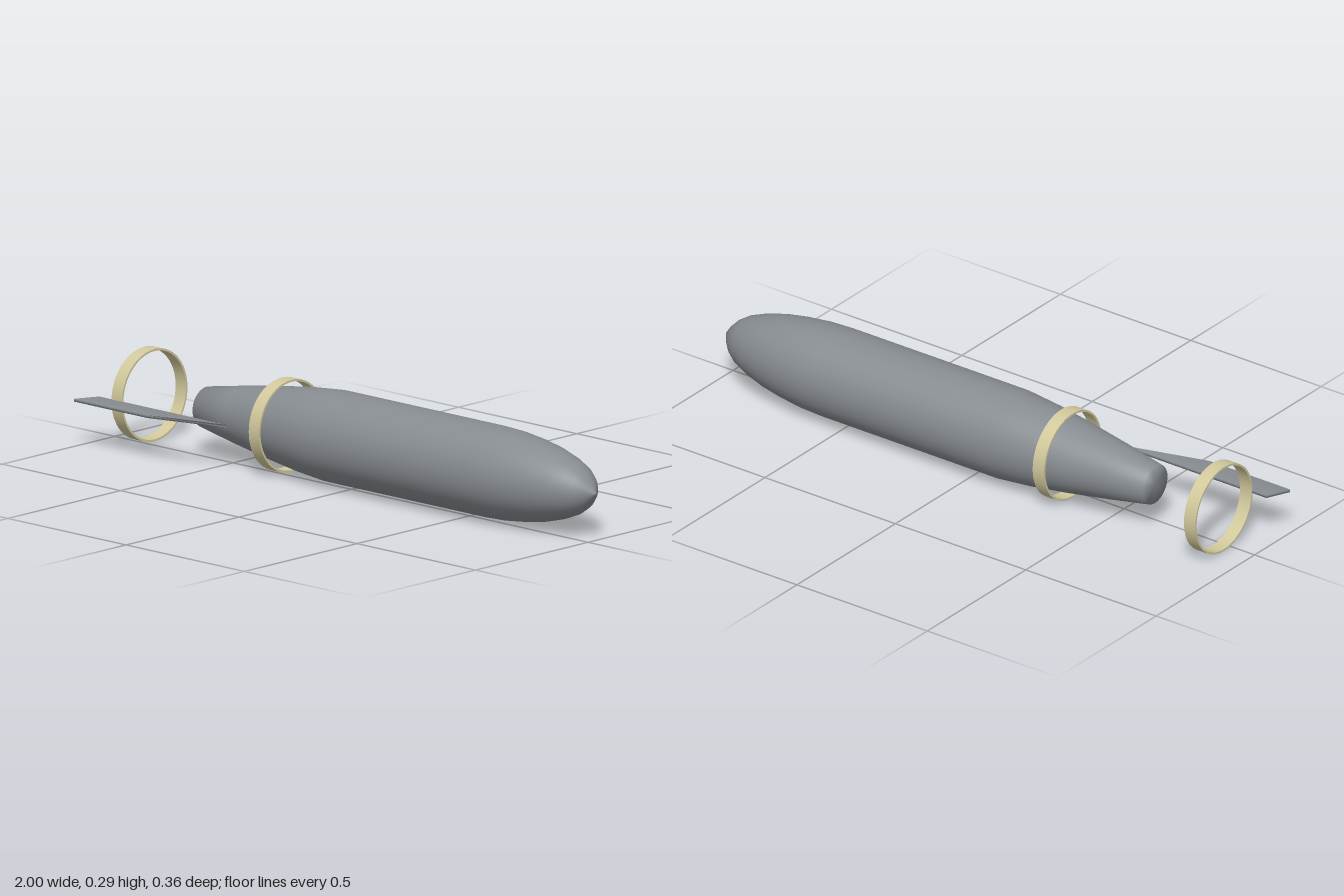
import * as THREE from 'three';
import { mergeVertices, toCreasedNormals } from 'three/addons/utils/BufferGeometryUtils.js';

const AXIS_Y = 0.146, AXIS_Z = -0.036;

// Lathe a [x, radius] profile around the long axis
function turned(profile, segments) {
  const points = profile.map(([x, r]) => new THREE.Vector2(r, x));
  return new THREE.LatheGeometry(points, segments).rotateZ(-Math.PI / 2);
}

export function createModel() {
  const model = new THREE.Group();
  const grey = new THREE.MeshStandardMaterial({ color: 0x878c91 });
  grey.name = 'bodyGrey';
  const tan = new THREE.MeshStandardMaterial({ color: 0xd2c99c });
  tan.name = 'bandTan';

  const add = (name, geometry, material) => {
    const mesh = new THREE.Mesh(geometry, material);
    mesh.name = name;
    model.add(mesh);
    return mesh;
  };

  // Body: tapered tail, straight middle, rounded nose with a small conical tip
  const profile = [
    [-0.645, 0], [-0.645, 0.064], [-0.5, 0.09], [-0.35, 0.114],
    [-0.22, 0.132], [-0.1, 0.143], [0.2, 0.143], [0.57, 0.143],
    [0.65, 0.14], [0.73, 0.131], [0.8, 0.119], [0.87, 0.1],
    [0.92, 0.08], [0.95, 0.06], [0.975, 0.034], [1, 0],
  ];
  add('body', turned(profile, 64), grey).position.set(0, AXIS_Y, AXIS_Z);

  // Two thin bands, one around the tail taper and one behind it
  const outer = 0.1455, inner = 0.139, half = 0.022;
  const section = [[-half, inner], [-half, outer], [half, outer], [half, inner], [-half, inner]];
  const bandGeometry = toCreasedNormals(turned(section, 64), 0.6);
  [['frontBand', -0.308], ['rearBand', -0.888]].forEach(([name, x]) => {
    add(name, bandGeometry, tan).position.set(x, AXIS_Y, AXIS_Z);
  });

  // Swept side fin, with softly blended edges
  const outline = new THREE.Shape([
    [-0.965, 0.106], [-0.43, 0.106], [-0.69, 0.181], [-1, 0.181],
  ].map(([x, z]) => new THREE.Vector2(x, z)));
  const thickness = 0.009;
  let fin = new THREE.ExtrudeGeometry(outline, { depth: thickness, bevelEnabled: false });
  fin.rotateX(Math.PI / 2).translate(0, AXIS_Y + thickness / 2, 0);
  fin.deleteAttribute('normal');
  fin.deleteAttribute('uv');
  fin = mergeVertices(fin);
  fin.clearGroups();
  fin.computeVertexNormals();
  add('sideFin', fin, grey);

  return model;
}
